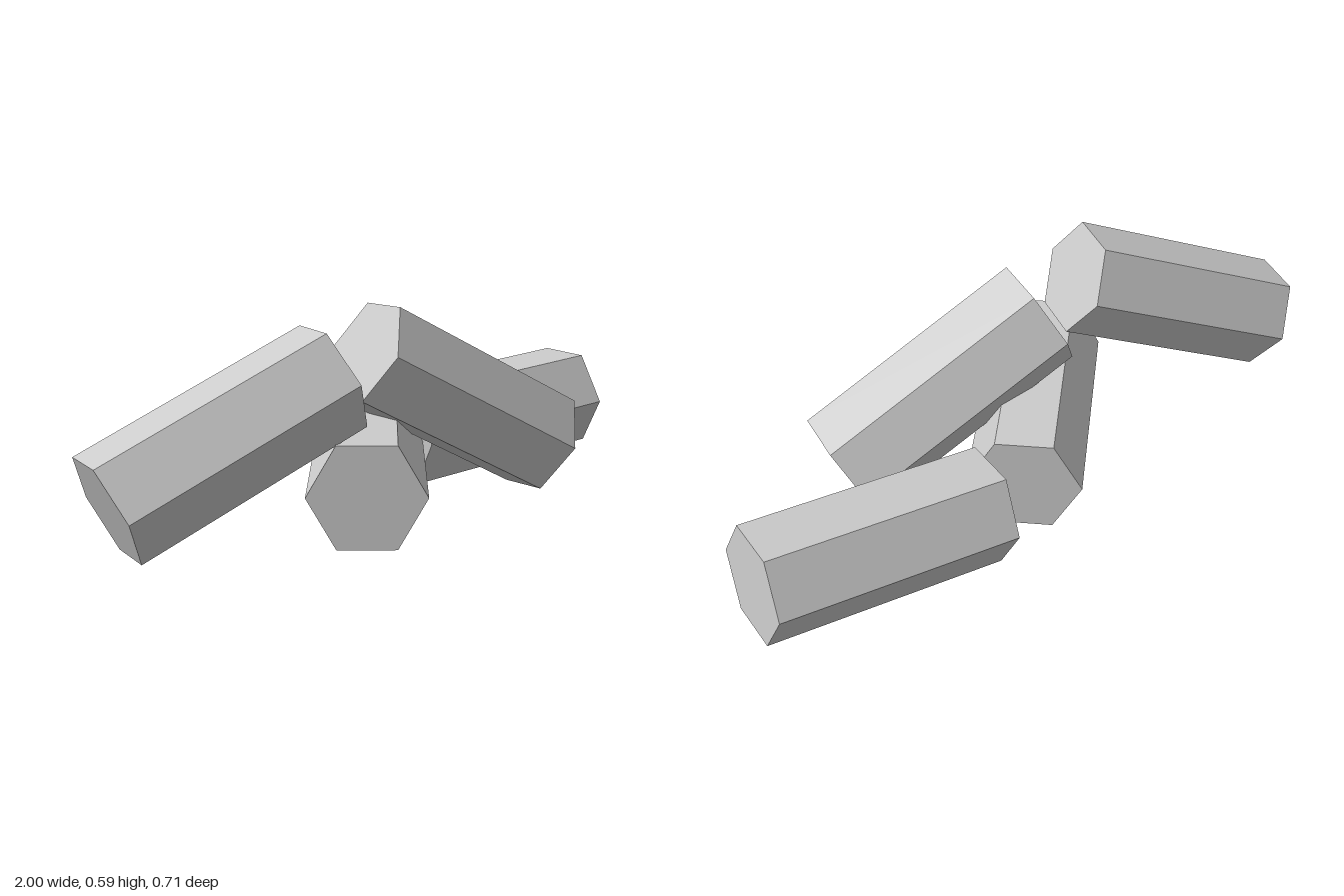
import * as THREE from 'three';

const RADIUS = 0.16;

// Each log: centre of its left-hand end, centre of its right-hand end, small roll about its axis
const LOGS = [
  { name: 'bottomLog', from: [-0.375, 0.141, 0.205], to: [0.165, 0.141, -0.215], roll: 0 },
  { name: 'leftLeaningLog', from: [-0.917, 0.158, -0.183], to: [-0.347, 0.443, 0.072], roll: 0 },
  { name: 'frontLeaningLog', from: [-0.12, 0.47, -0.003], to: [0.455, 0.149, 0.2], roll: -0.04 },
  { name: 'rightLog', from: [0.288, 0.142, -0.2], to: [0.957, 0.19, -0.027], roll: 0.02 },
];

// Hexagonal prism between two points, one pair of corners level with the ground
function makeLog({ name, from, to, roll }, material) {
  const a = new THREE.Vector3(...from);
  const b = new THREE.Vector3(...to);
  const axis = b.clone().sub(a);
  const length = axis.length();
  axis.normalize();
  const side = new THREE.Vector3(-axis.z, 0, axis.x).normalize();
  const across = new THREE.Vector3().crossVectors(axis, side);

  const geometry = new THREE.CylinderGeometry(RADIUS, RADIUS, length, 6);
  geometry.rotateY(roll);
  const log = new THREE.Mesh(geometry, material);
  log.name = name;
  log.quaternion.setFromRotationMatrix(new THREE.Matrix4().makeBasis(across, axis, side));
  log.position.copy(a).add(b).multiplyScalar(0.5);
  return log;
}

export function createModel() {
  const group = new THREE.Group();
  group.name = 'logPile';
  const material = new THREE.MeshStandardMaterial({ color: 0xcccccc, flatShading: true });
  for (const spec of LOGS) group.add(makeLog(spec, material));
  return group;
}
